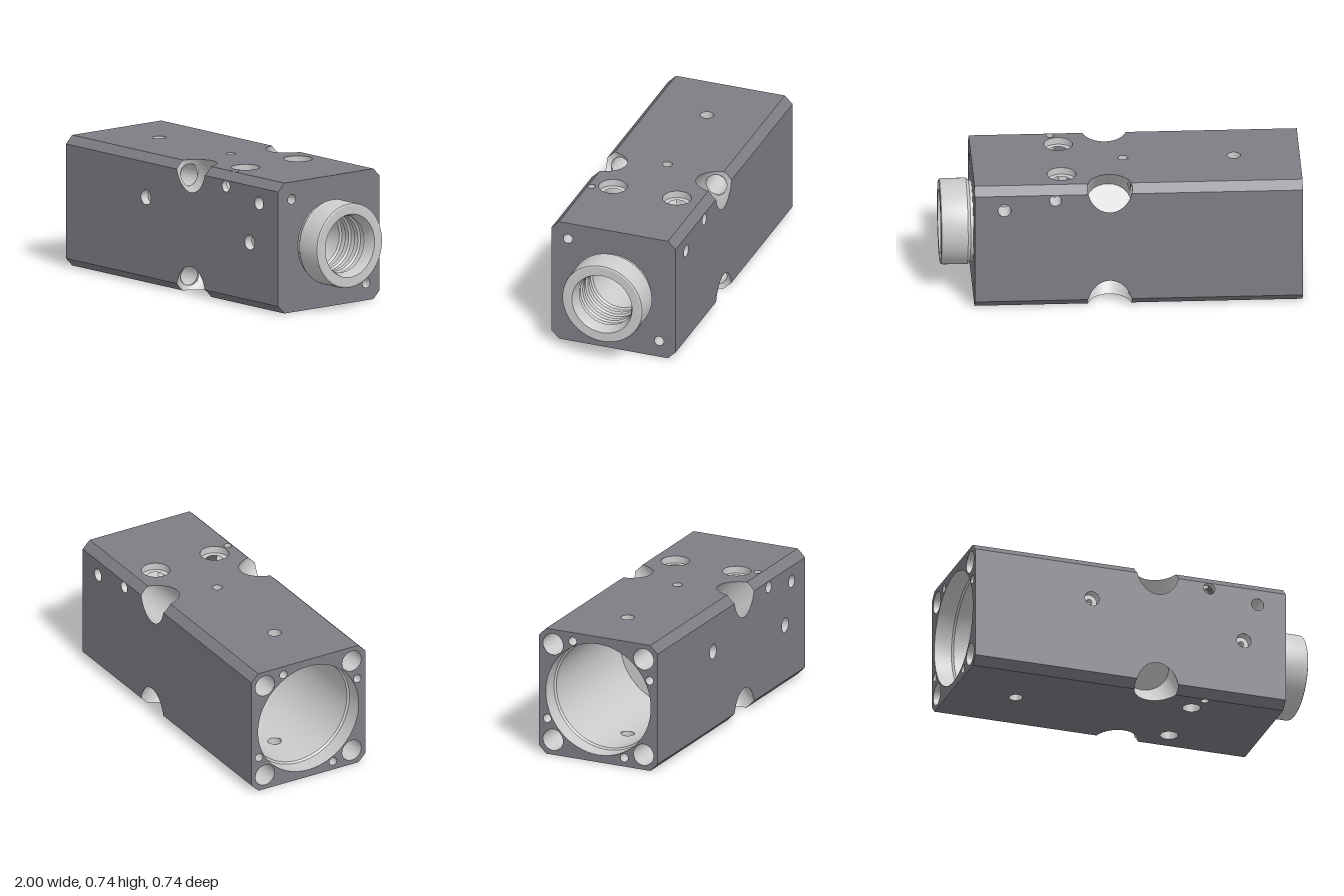
import * as THREE from 'three';
import { toCreasedNormals } from 'three/addons/utils/BufferGeometryUtils.js';

const H = 0.368, C = 0.045;           // half width of the block, corner chamfer
const X0 = -1, X1 = 0.82;             // block ends
const DIAG = H * Math.SQRT2;          // axis to un-chamfered corner
const PX = 0.07, PA = 0.125, PB = 0.112, PD = 0.27; // corner pocket: place, radii, depth
const BOLT = 0.062, BOLT_S = 0.124;   // bolt hole radius and distance in from the corner

const dark = new THREE.MeshStandardMaterial({ color: 0x7c7e84, side: THREE.DoubleSide });
const light = new THREE.MeshStandardMaterial({ color: 0xcccccc, side: THREE.DoubleSide });

function add(parent, name, geo, mat) {
  const m = new THREE.Mesh(geo, mat);
  m.name = name;
  parent.add(m);
  return m;
}

function group(parent, name) {
  const g = new THREE.Group();
  g.name = name;
  parent.add(g);
  return g;
}

function circleHole(shape, x, y, r) {
  shape.holes.push(new THREE.Path().absarc(x, y, r, 0, Math.PI * 2, true));
}

// Stepped hole sunk along -z from a face at height z; parts are [radius, start depth, end depth]
function drill(parent, x, y, z, parts, blind) {
  const g = group(parent, 'drilledHole');
  g.position.set(x, y, z);
  parts.forEach(([r, a, b], i) => {
    const tube = new THREE.CylinderGeometry(r, r, b - a, 32, 1, true).rotateX(Math.PI / 2);
    add(g, 'holeWall', tube, light).position.z = -(a + b) / 2;
    const next = parts[i + 1];
    if (next && next[0] < r) add(g, 'holeStep', new THREE.RingGeometry(next[0], r, 32), light).position.z = -b;
    if (!next && blind) add(g, 'holeFloor', new THREE.CircleGeometry(r, 32), light).position.z = -b;
  });
}

// Curved wall made of columns; breaks(a) lists start/end pairs, leaving openings between the pairs
function wall(n, point, breaks) {
  const pos = [];
  for (let i = 0; i < n; i++) {
    const a = (i / n) * Math.PI * 2, b = ((i + 1) / n) * Math.PI * 2;
    const ta = breaks(a), tb = breaks(b);
    for (let k = 0; k < ta.length; k += 2) {
      const p = point(a, ta[k]), q = point(b, tb[k]), r = point(b, tb[k + 1]), s = point(a, ta[k + 1]);
      pos.push(...p, ...q, ...r, ...p, ...r, ...s);
    }
  }
  const geo = new THREE.BufferGeometry();
  geo.setAttribute('position', new THREE.Float32BufferAttribute(pos, 3));
  geo.computeVertexNormals();
  return toCreasedNormals(geo, 0.5);
}

// Turned part about the x axis from [radius, x] points
function turned(points) {
  const geo = new THREE.LatheGeometry(points.map(([r, x]) => new THREE.Vector2(r, x)), 96);
  return toCreasedNormals(geo.rotateZ(-Math.PI / 2), 0.4);
}

// Long side with pocket notches on both edges
function sideShape() {
  const w = H - C, pv = PB * Math.SQRT2, a0 = Math.asin(C / pv);
  const s = new THREE.Shape();
  s.moveTo(X0, w);
  s.lineTo(X0, -w);
  s.absellipse(PX, -H, PA, pv, Math.PI - a0, a0, true);
  s.lineTo(X1, -w);
  s.lineTo(X1, w);
  s.absellipse(PX, H, PA, pv, -a0, a0 - Math.PI, true);
  s.closePath();
  return s;
}

// Chamfer strip on one side of the pocket
function chamferShape(end, dir) {
  const w = C / Math.SQRT2, a = Math.asin(w / PB);
  const s = new THREE.Shape();
  s.moveTo(end, w * dir);
  s.lineTo(end, -w * dir);
  if (dir > 0) s.absellipse(PX, 0, PA, PB, Math.PI + a, Math.PI - a, true);
  else s.absellipse(PX, 0, PA, PB, a, -a, true);
  s.closePath();
  return s;
}

function endShape(bore) {
  const w = H - C;
  const s = new THREE.Shape([[w, -H], [H, -w], [H, w], [w, H], [-w, H], [-H, w], [-H, -w], [-w, -H]]
    .map(([x, y]) => new THREE.Vector2(x, y)));
  circleHole(s, 0, 0, bore);
  return s;
}

export function createModel() {
  const model = new THREE.Group();
  model.name = 'machinedBlock';
  const block = group(model, 'block');
  block.position.y = H;

  // Long sides: [x, across, face radius, parts, blind]
  const port = [[0.042, 0, 0.05], [0.016, 0.05, 0.09]];
  const blindPart = [[0.036, 0, 0.12]];
  const cross = [[0, 0.035], [0.085, 0.12], [0.24, 0.5], [0.62, 2 * H]].map(([a, b]) => [0.033, a, b]);
  const counterbore = [[0.08, 0, 0.04], [0.05, 0.12, 2 * H]];
  const sides = [
    ['frontSide', 0, [
      [-0.315, 0.125, 0.042, port, true], [0.575, 0.003, 0.042, port, true],
      [0.372, 0.29, 0.033, cross, false], [0.655, 0.235, 0.036, blindPart, true]]],
    ['topSide', -Math.PI / 2, [
      [-0.635, 0, 0.038, [[0.038, 0, 0.054]], false], [-0.02, 0, 0.028, [[0.028, 0, 0.04]], true],
      [0.33, 0.19, 0.08, counterbore, false], [0.33, -0.19, 0.08, counterbore, false],
      [0.37, -0.3, 0.022, [[0.022, 0, 0.04], [0.022, 0.12, 2 * H]], false]]],
    ['backSide', Math.PI, [
      [0.372, -0.29, 0.033, [], false], [0.655, -0.235, 0.036, blindPart, true]]],
    ['bottomSide', Math.PI / 2, [
      [-0.635, 0, 0.038, [[0.038, 0, 0.054]], false],
      [0.33, 0.19, 0.05, [], false], [0.33, -0.19, 0.05, [], false], [0.37, 0.3, 0.022, [], false]]],
  ];
  for (const [name, turn, holes] of sides) {
    const g = group(block, name);
    g.rotation.x = turn;
    const shape = sideShape();
    for (const [x, v, r, parts, blind] of holes) {
      circleHole(shape, x, v, r);
      drill(g, x, v, H, parts, blind);
    }
    add(g, 'sideFace', new THREE.ShapeGeometry(shape, 24), dark).position.z = H;
  }

  // Corners: chamfer, diagonal pocket and the bolt hole that opens into it
  const pocketPoint = (a, s) => [PX + PA * Math.cos(a), PB * Math.sin(a), DIAG + s];
  const pocketBreaks = (a) => {
    const w = Math.abs(PB * Math.sin(a));
    const rim = Math.min(-C / Math.SQRT2, -w);
    const open = Math.cos(a) < 0 ? Math.sqrt(Math.max(0, BOLT * BOLT - w * w)) : 0;
    return [rim, -BOLT_S + open, -BOLT_S - open, -PD];
  };
  for (let k = 0; k < 4; k++) {
    const g = group(block, 'corner');
    g.rotation.x = Math.PI / 4 + (k * Math.PI) / 2;
    for (const [end, dir] of [[X0, 1], [X1, -1]]) {
      const strip = new THREE.ShapeGeometry(chamferShape(end, dir), 12);
      add(g, 'cornerChamfer', strip, dark).position.z = DIAG - C / Math.SQRT2;
    }
    add(g, 'pocketWall', wall(96, pocketPoint, pocketBreaks), light);
    const floor = add(g, 'pocketFloor', new THREE.CircleGeometry(1, 64).scale(PA, PB, 1), light);
    floor.position.set(PX, 0, DIAG - PD);
    const len = PX - PA + 0.008 - X0;
    const tube = new THREE.CylinderGeometry(BOLT, BOLT, len, 40, 1, true).rotateZ(Math.PI / 2);
    add(g, 'boltHole', tube, light).position.set(X0 + len / 2, 0, DIAG - BOLT_S);
  }

  // Open end with bolt holes and pin holes
  const left = group(block, 'openEnd');
  left.rotation.y = -Math.PI / 2;
  const open = endShape(0.325);
  const b = (DIAG - BOLT_S) / Math.SQRT2;
  for (const [u, v] of [[b, b], [-b, b], [-b, -b], [b, -b]]) circleHole(open, u, v, BOLT);
  for (const [u, v] of [[-0.16, 0.317], [0.317, 0.16], [0.16, -0.317], [-0.317, -0.16]]) {
    circleHole(open, u, v, 0.024);
    drill(left, u, v, -X0, [[0.024, 0, 0.08]], true);
  }
  add(left, 'endFace', new THREE.ShapeGeometry(open, 32), dark).position.z = -X0;

  // Neck end with two dowel holes
  const right = group(block, 'neckEnd');
  right.rotation.y = Math.PI / 2;
  const closed = endShape(0.225);
  for (const s of [1, -1]) {
    circleHole(closed, -0.27 * s, 0.27 * s, 0.028);
    drill(right, -0.27 * s, 0.27 * s, X1, [[0.028, 0, 0.08]], true);
  }
  add(right, 'endFace', new THREE.ShapeGeometry(closed, 32), dark).position.z = X1;

  // Main bore, open where the vertical hole crosses it
  const R = 0.315, boreEnd = -0.1;
  add(block, 'boreEntry', turned([[0.325, X0], [0.325, -0.9], [R, -0.89]]), light);
  add(block, 'boreWall', wall(192, (a, x) => [x, R * Math.cos(a), R * Math.sin(a)], (a) => {
    const h = Math.sqrt(Math.max(0, 0.038 ** 2 - (R * Math.sin(a)) ** 2));
    return [-0.89, -0.635 - h, -0.635 + h, boreEnd];
  }), light);

  // Narrow bore, tapered seat, grooved socket and neck outside, in one turned profile
  const profile = [[R, boreEnd], [0.13, boreEnd], [0.13, 0.45], [0.16, 0.68]];
  for (let i = 0; i < 3; i++) {
    const x = 0.72 + i * 0.08;
    profile.push([0.16, x], [0.17, x + 0.01], [0.17, x + 0.04], [0.16, x + 0.05]);
  }
  profile.push([0.165, 0.96], [0.167, 0.975], [0.178, 1], [0.228, 1], [0.236, 0.996], [0.239, 0.985],
    [0.239, 0.85], [0.232, 0.84], [0.225, 0.835], [0.225, X1]);
  add(block, 'neck', turned(profile), light);

  return model;
}
